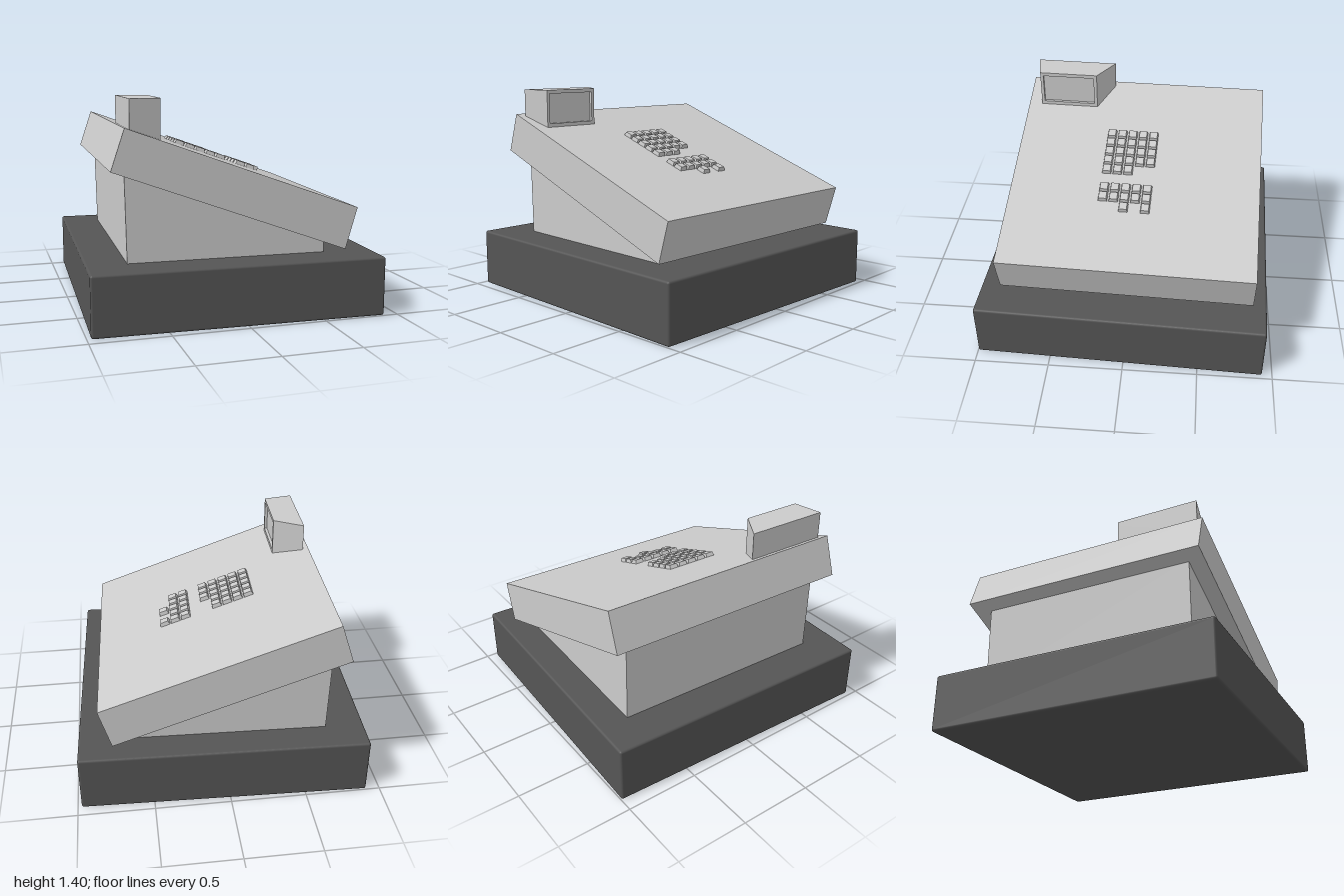
import * as THREE from 'three';
import { RoundedBoxGeometry } from 'three/addons/geometries/RoundedBoxGeometry.js';

const grey = new THREE.MeshStandardMaterial({ color: 0xcccccc, flatShading: true });
const dark = new THREE.MeshStandardMaterial({ color: 0x555555 });

function part(name, geometry, material = grey) {
  const mesh = new THREE.Mesh(geometry, material);
  mesh.name = name;
  return mesh;
}

// Extrude an outline of [x, y] points by the given depth
function prism(points, depth) {
  const shape = new THREE.Shape(points.map(([x, y]) => new THREE.Vector2(x, y)));
  return new THREE.ExtrudeGeometry(shape, { depth, bevelEnabled: false });
}

// Keycap standing on y = 0, narrower at the top
function keycapGeometry(width, height, depth) {
  const geo = new THREE.BoxGeometry(width, height, depth).translate(0, height / 2, 0);
  const pos = geo.attributes.position;
  for (let i = 0; i < pos.count; i++) {
    if (pos.getY(i) > height / 2) {
      pos.setX(i, pos.getX(i) * 0.82);
      pos.setZ(i, pos.getZ(i) * 0.82);
    }
  }
  geo.computeVertexNormals();
  return geo;
}

export function createModel() {
  const model = new THREE.Group();
  model.name = 'cashRegister';

  // Cash drawer with slightly rounded edges
  const drawer = part('drawerBase', new RoundedBoxGeometry(1.885, 0.385, 1.93, 3, 0.015), dark);
  drawer.position.y = 0.1925;
  model.add(drawer);

  // Wedge that carries the sloping housing
  const pedestal = part('pedestal', prism(
    [[-0.685, 0.38], [0.611, 0.38], [0.613, 0.48], [-0.697, 0.955]], 1.482));
  pedestal.position.z = -0.757;
  model.add(pedestal);

  // Sloping housing
  const housing = part('slopingHousing', prism(
    [[-0.793, 0.97], [0.72, 0.42], [0.798, 0.69], [-0.706, 1.23]], 1.702));
  housing.position.z = -0.874;
  model.add(housing);

  // Customer display: three stacked layers, the middle one notched for the screen
  const display = new THREE.Group();
  display.name = 'display';
  const outline = [[-0.669, -0.779], [-0.47, -0.735], [-0.47, -0.325], [-0.669, -0.213]];
  const notched = [...outline];
  notched.splice(2, 0, [-0.47, -0.714], [-0.49, -0.714], [-0.49, -0.348], [-0.47, -0.348]);
  const layers = [
    ['displayFoot', outline, 1.1, 1.17],
    ['displayScreen', notched, 1.17, 1.375],
    ['displayTop', outline, 1.375, 1.4],
  ];
  for (const [name, points, bottom, top] of layers) {
    const layer = part(name, prism(points, top - bottom).rotateX(-Math.PI / 2));
    layer.position.y = bottom;
    display.add(layer);
  }
  model.add(display);

  // Two key blocks lying on the slope; each row lists its number of keys
  const slope = Math.atan2(0.54, 1.504);
  const keyboard = new THREE.Group();
  keyboard.name = 'keyboard';
  keyboard.position.set(-0.706, 1.23, 0);
  keyboard.rotation.z = -slope;
  const keyGeo = keycapGeometry(0.067, 0.026, 0.063);
  const blocks = [
    { startX: -0.237, rows: [4, 4, 5, 5, 5] },
    { startX: 0.192, rows: [3, 2, 3, 2, 2] },
  ];
  for (const { startX, rows } of blocks) {
    rows.forEach((count, row) => {
      for (let col = 0; col < count; col++) {
        const key = part('key', keyGeo);
        const x = startX + col * 0.0717;
        key.position.set((x + 0.706) / Math.cos(slope), 0, -0.113 + row * 0.074);
        keyboard.add(key);
      }
    });
  }
  model.add(keyboard);

  // The whole machine stands turned by about two degrees
  model.rotation.y = -0.0345;
  const root = new THREE.Group();
  root.add(model);
  return root;
}
